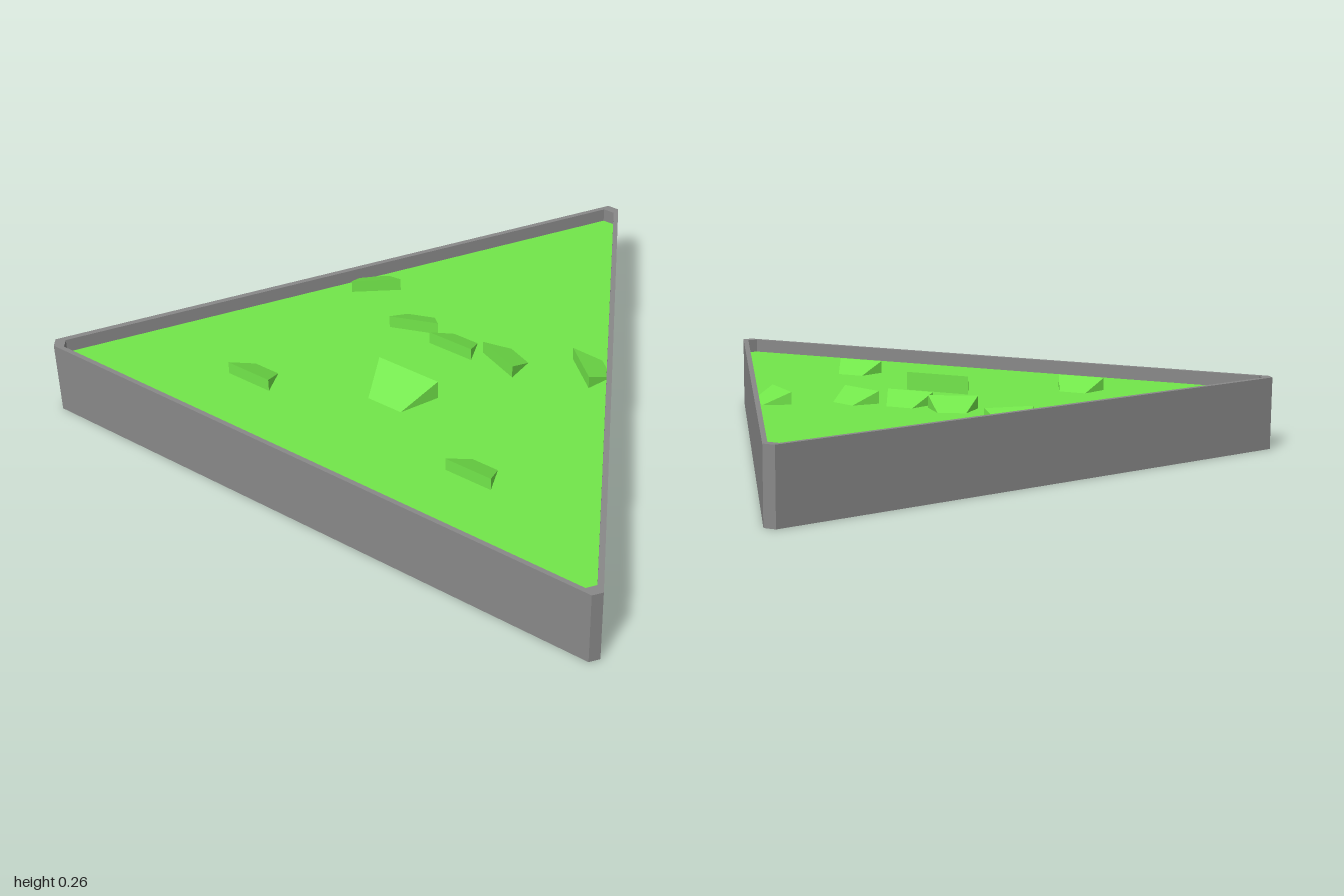
import * as THREE from 'three';

const RIM = 0.242, FLOOR = 0.197, BASE = 0.19;

// Triangle with clipped corners, symmetric about z = 0
const OUTER = [[0.843, 0.02], [-0.815, 1], [-0.843, 0.98]];
const INNER = [[0.815, 0.019], [-0.80, 0.971], [-0.828, 0.951]];

// Counter-clockwise outline, so that the hole walls face inwards
function outline(half) {
  const mirrored = half.slice().reverse().map(([x, z]) => [x, -z]);
  return [...half, ...mirrored].map(([x, z]) => new THREE.Vector2(x, z));
}

function slab(shape, y0, y1, material, name) {
  const geo = new THREE.ExtrudeGeometry(shape, { depth: y1 - y0, bevelEnabled: false });
  geo.rotateX(-Math.PI / 2).translate(0, y0, 0);
  const mesh = new THREE.Mesh(geo, material);
  mesh.name = name;
  return mesh;
}

// Ramp: tall wide end at the origin, falling to a narrow low edge along +x
function rampGeometry(length, wide, narrow, h) {
  const geo = new THREE.BufferGeometry();
  geo.setAttribute('position', new THREE.Float32BufferAttribute([
    0, 0, -wide, 0, 0, wide, length, 0, narrow, length, 0, -narrow, 0, h, -wide, 0, h, wide], 3));
  geo.setIndex([0, 1, 5, 0, 5, 4, 4, 5, 2, 4, 2, 3, 1, 2, 5, 0, 4, 3]);
  const flat = geo.toNonIndexed();
  flat.computeVertexNormals();
  return flat;
}

export function createModel() {
  const group = new THREE.Group();
  const grey = new THREE.MeshStandardMaterial({ color: 0x888888 });
  const green = new THREE.MeshStandardMaterial({ color: 0x72e64a });

  // Tray: solid base, raised rim and recessed green floor
  const rim = new THREE.Shape(outline(OUTER));
  rim.holes.push(new THREE.Path(outline(INNER)));
  group.add(slab(new THREE.Shape(outline(OUTER)), 0, BASE, grey, 'base'));
  group.add(slab(rim, BASE, RIM, grey, 'rim'));
  group.add(slab(new THREE.Shape(outline(INNER)), BASE, FLOOR, green, 'floor'));

  // Ramps standing on the floor
  const small = rampGeometry(0.085, 0.079, 0.045, 0.041);
  const large = rampGeometry(0.122, 0.11, 0.061, 0.06);
  const addRamp = (geo, x, z, angle, name) => {
    const mesh = new THREE.Mesh(geo, green);
    mesh.position.set(x, FLOOR, z);
    mesh.rotation.y = angle;
    mesh.name = name;
    group.add(mesh);
  };
  addRamp(large, -0.329, 0, Math.PI, 'centreRamp');
  addRamp(small, -0.113, 0, 0, 'arcRampMiddle');
  for (const s of [-1, 1]) {
    const side = s > 0 ? 'Front' : 'Back';
    addRamp(small, -0.595, s * 0.408, 0, 'cornerRamp' + side);
    addRamp(small, -0.087, s * 0.16, s * -0.36, 'arcRampInner' + side);
    addRamp(small, 0.024, s * 0.393, s * -0.69, 'arcRampOuter' + side);
  }
  return group;
}
